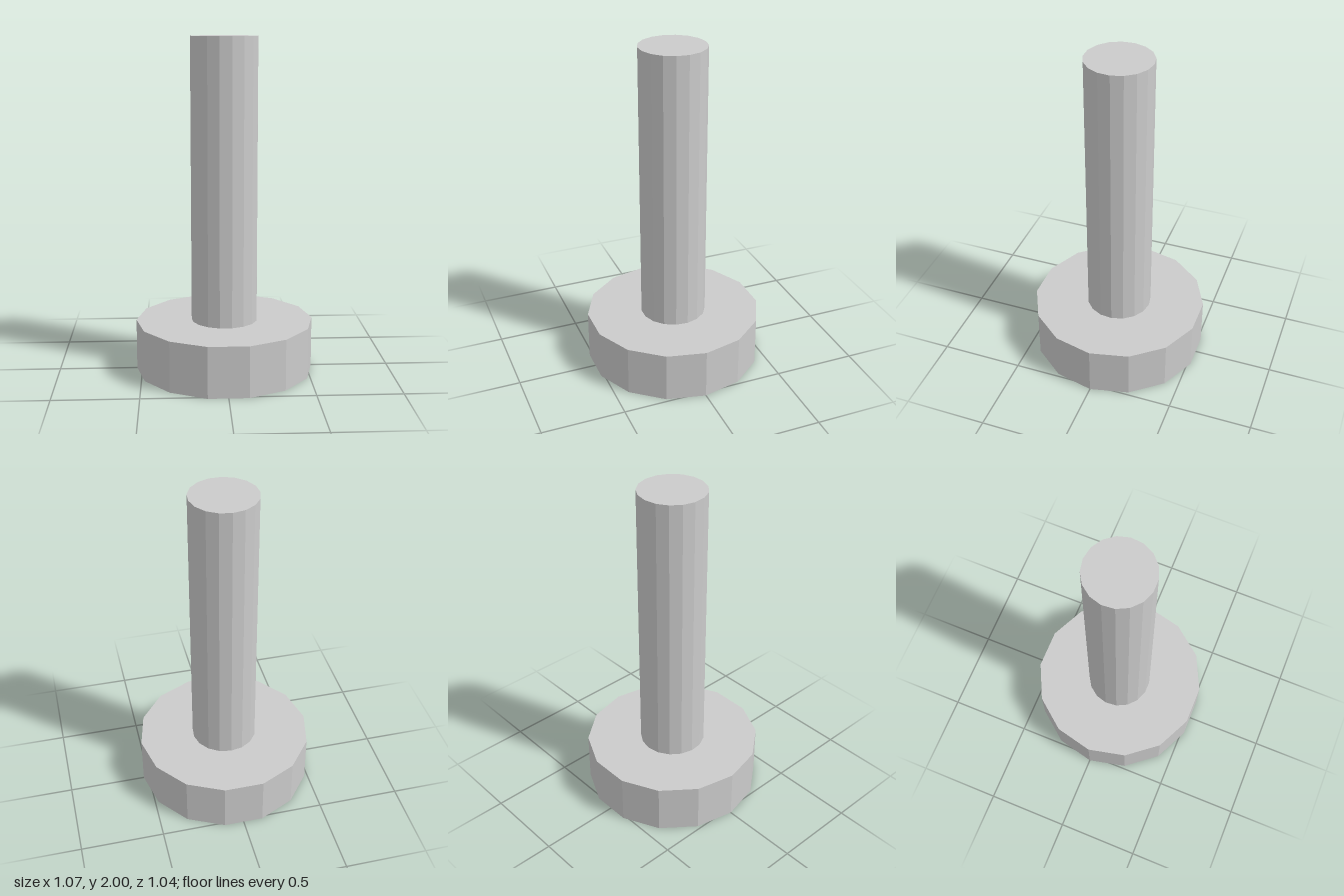
import * as THREE from 'three';

const material = new THREE.MeshStandardMaterial({ color: 0xcccccc, flatShading: true });

// Upright faceted cylinder spanning y0 to y1, with its first corner at angle start
function prism(name, radius, y0, y1, sides, start) {
  const geometry = new THREE.CylinderGeometry(radius, radius, y1 - y0, sides, 1, false, start);
  const mesh = new THREE.Mesh(geometry, material);
  mesh.name = name;
  mesh.position.y = (y0 + y1) / 2;
  return mesh;
}

export function createModel() {
  const HEAD_HEIGHT = 0.305;
  const model = new THREE.Group();
  model.name = 'bolt';

  // Wide 14-sided head, corners on the x axis
  model.add(prism('head', 0.533, 0, HEAD_HEIGHT, 14, Math.PI / 2));

  // Slim 17-sided shaft, one corner pointing to the back
  model.add(prism('shaft', 0.199, HEAD_HEIGHT, 2, 17, Math.PI));

  return model;
}
